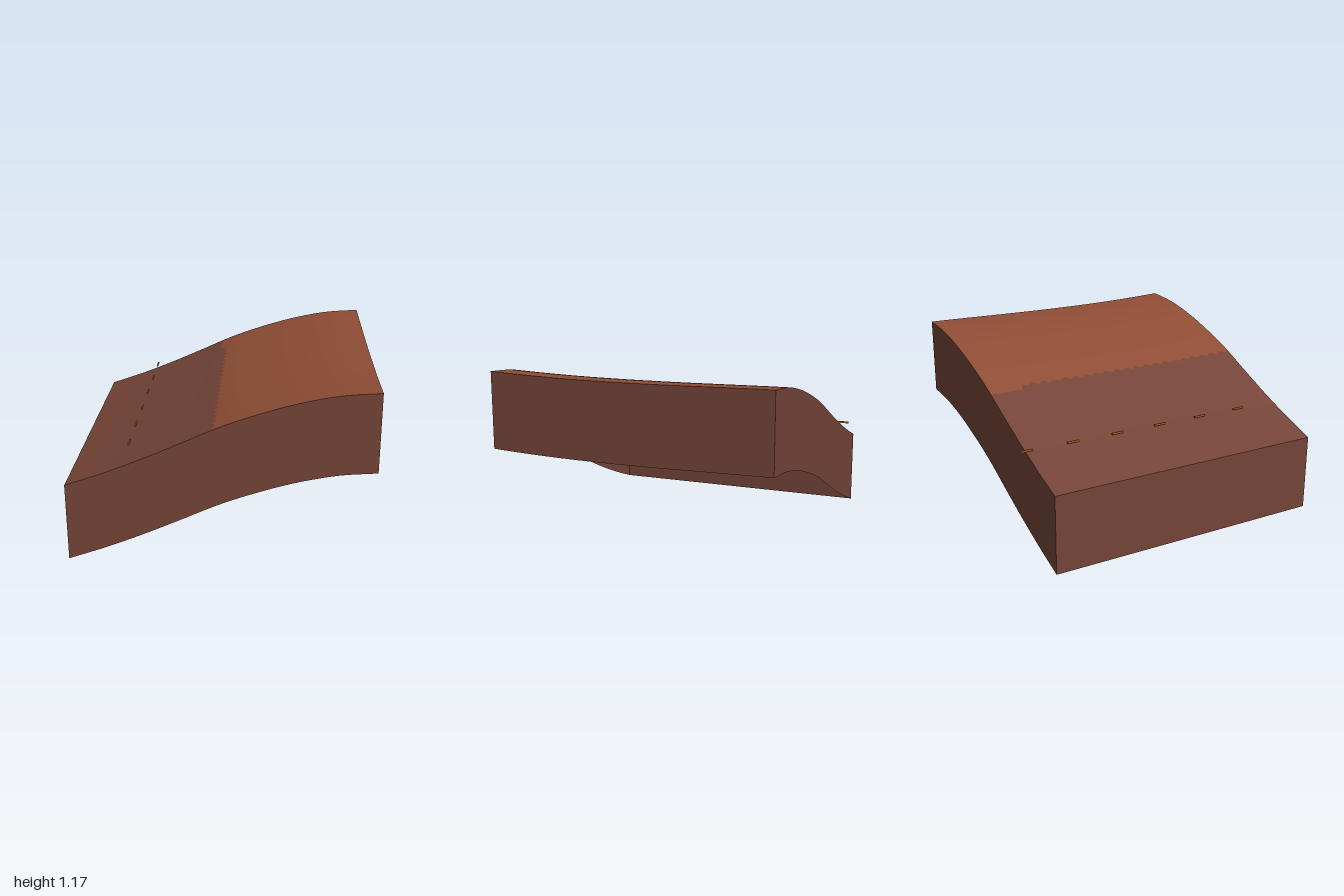
import * as THREE from 'three';

const HALF_X = 0.975, FRONT = 1, BACK = -0.955, DEPTH = 0.52;

// Slope profile along the front edge, evenly spaced in x
const heights = [0.522, 0.61, 0.71, 0.82, 0.932, 1.022, 1.095, 1.145, 1.166];
const stations = heights.map((_, i) => -HALF_X + (i * 2 * HALF_X) / (heights.length - 1));
const profile = new THREE.CubicInterpolant(stations, heights, 1, [0]);

// Terrain height: profile plus a shallow dip on the high side and a slight rise to the back
function terrain(x, z) {
  const w = THREE.MathUtils.clamp((x + HALF_X) / (2 * HALF_X), 0, 1);
  const t = THREE.MathUtils.clamp((FRONT - z) / (FRONT - BACK), 0, 1);
  const rise = 0.01 * t * (1 - 0.9 * w);
  const dip = 0.1 * w * t * Math.pow(1 - t, 1.5);
  return profile.evaluate(x)[0] + rise - dip;
}

// Scalloped border between the two ground colours
const border = (z) => (z < -0.715 ? -0.08 : -0.04 + 0.012 * Math.sin((z * Math.PI * 2) / 0.082));

// Grid surface whose vertices follow place(u, v) -> [x, y, z]
function sheet(name, nu, nv, place, material) {
  const geometry = new THREE.PlaneGeometry(1, 1, nu, nv);
  const { position, uv } = geometry.attributes;
  for (let i = 0; i < position.count; i++) {
    position.setXYZ(i, ...place(uv.getX(i), uv.getY(i)));
  }
  geometry.computeVertexNormals();
  const mesh = new THREE.Mesh(geometry, material);
  mesh.name = name;
  return mesh;
}

export function createModel() {
  const model = new THREE.Group();
  model.name = 'terrainBlock';

  const darkSoil = new THREE.MeshStandardMaterial({ color: 0x744437, side: THREE.DoubleSide });
  darkSoil.name = 'darkSoil';
  const redSoil = new THREE.MeshStandardMaterial({ color: 0x8f4d35, side: THREE.DoubleSide });
  redSoil.name = 'redSoil';
  const markerOrange = new THREE.MeshStandardMaterial({ color: 0xb5651d });
  markerOrange.name = 'markerOrange';

  // Ground surface, split at the border
  const ground = (from, to) => (u, v) => {
    const z = THREE.MathUtils.lerp(FRONT, BACK, v);
    const x = THREE.MathUtils.lerp(from(z), to(z), u);
    return [x, terrain(x, z), z];
  };
  model.add(sheet('lowerGround', 24, 120, ground(() => -HALF_X, border), darkSoil));
  model.add(sheet('upperGround', 24, 120, ground(border, () => HALF_X), redSoil));

  // Skirt walls of constant depth; the underside stays open
  const wall = (x0, z0, x1, z1) => (u, v) => {
    const x = THREE.MathUtils.lerp(x0, x1, u);
    const z = THREE.MathUtils.lerp(z0, z1, u);
    return [x, terrain(x, z) - DEPTH * (1 - v), z];
  };
  model.add(sheet('frontWall', 48, 1, wall(-HALF_X, FRONT, HALF_X, FRONT), darkSoil));
  model.add(sheet('backWall', 48, 1, wall(HALF_X, BACK, -HALF_X, BACK), darkSoil));
  model.add(sheet('leftWall', 48, 1, wall(HALF_X, FRONT, HALF_X, BACK), darkSoil));
  model.add(sheet('rightWall', 48, 1, wall(-HALF_X, BACK, -HALF_X, FRONT), darkSoil));

  // Row of small dashes hovering over the lower slope
  const dashes = new THREE.Group();
  dashes.name = 'dashLine';
  const dashGeometry = new THREE.BoxGeometry(0.009, 0.012, 0.085);
  for (let i = 0; i < 6; i++) {
    const dash = new THREE.Mesh(dashGeometry, markerOrange);
    const z = -0.9575 + i * 0.325;
    dash.name = 'dash';
    dash.position.set(-0.608, terrain(-0.608, z) + 0.025, z);
    dashes.add(dash);
  }
  model.add(dashes);

  return model;
}
